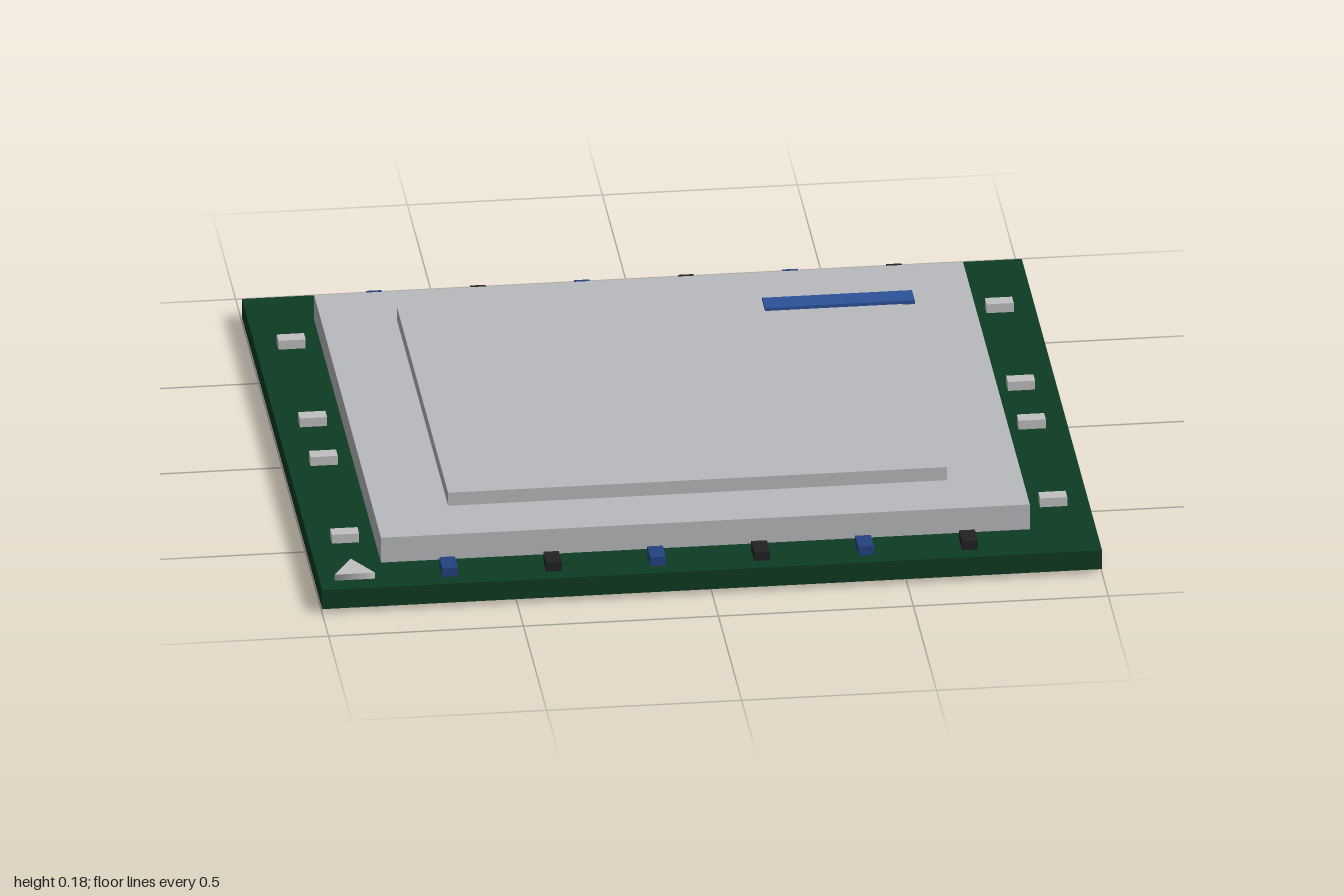
import * as THREE from 'three';

const mat = (name, color) => {
  const m = new THREE.MeshStandardMaterial({ color });
  m.name = name;
  return m;
};

export function createModel() {
  const group = new THREE.Group();
  const green = mat('board green', 0x0d3b22);
  const metal = mat('lid metal', 0xb9babd);
  const silver = mat('contact silver', 0xc0c0c0);
  const under = mat('underside grey', 0xb4b4b5);
  const blue = mat('component blue', 0x24427f);
  const barBlue = mat('bar blue', 0x2c5299);
  const black = mat('component black', 0x222224);

  // Box given by its centre on the ground plan, its size and its bottom and top heights
  const box = (name, material, x, z, w, d, y0, y1) => {
    const mesh = new THREE.Mesh(new THREE.BoxGeometry(w, y1 - y0, d), material);
    mesh.position.set(x, (y0 + y1) / 2, z);
    mesh.name = name;
    group.add(mesh);
  };

  // Main layers
  box('contactPlate', under, 0, 0, 1.86, 1.61, 0, 0.015);
  box('board', green, 0, 0, 2, 1.73, 0.012, 0.065);
  box('lidBase', metal, 0, 0, 1.664, 1.44, 0.065, 0.135);
  box('lidTop', metal, 0, 0, 1.28, 1.106, 0.135, 0.172);
  box('labelBar', barBlue, 0.48, -0.445, 0.384, 0.06, 0.17, 0.181);

  // Small components along the front and back edges
  for (const z of [-0.79, 0.79]) {
    for (let i = 0; i < 6; i++) {
      box('edgeComponent', i % 2 ? black : blue, -0.667 + i * 0.2667, z, 0.04, 0.066, 0.065, 0.09);
    }
  }

  // Silver contacts along the left and right edges
  for (const x of [-0.908, 0.908]) {
    for (const z of [-0.576, -0.115, 0.115, 0.576]) {
      box('sideContact', silver, x, z, 0.07, 0.038, 0.065, 0.09);
    }
  }

  // Corner triangle pointing to the back
  const marker = new THREE.Mesh(new THREE.CylinderGeometry(0.06, 0.06, 0.017, 3), silver);
  marker.rotation.y = Math.PI;
  marker.position.set(-0.91, 0.0735, 0.782);
  marker.name = 'cornerMarker';
  group.add(marker);

  return group;
}
